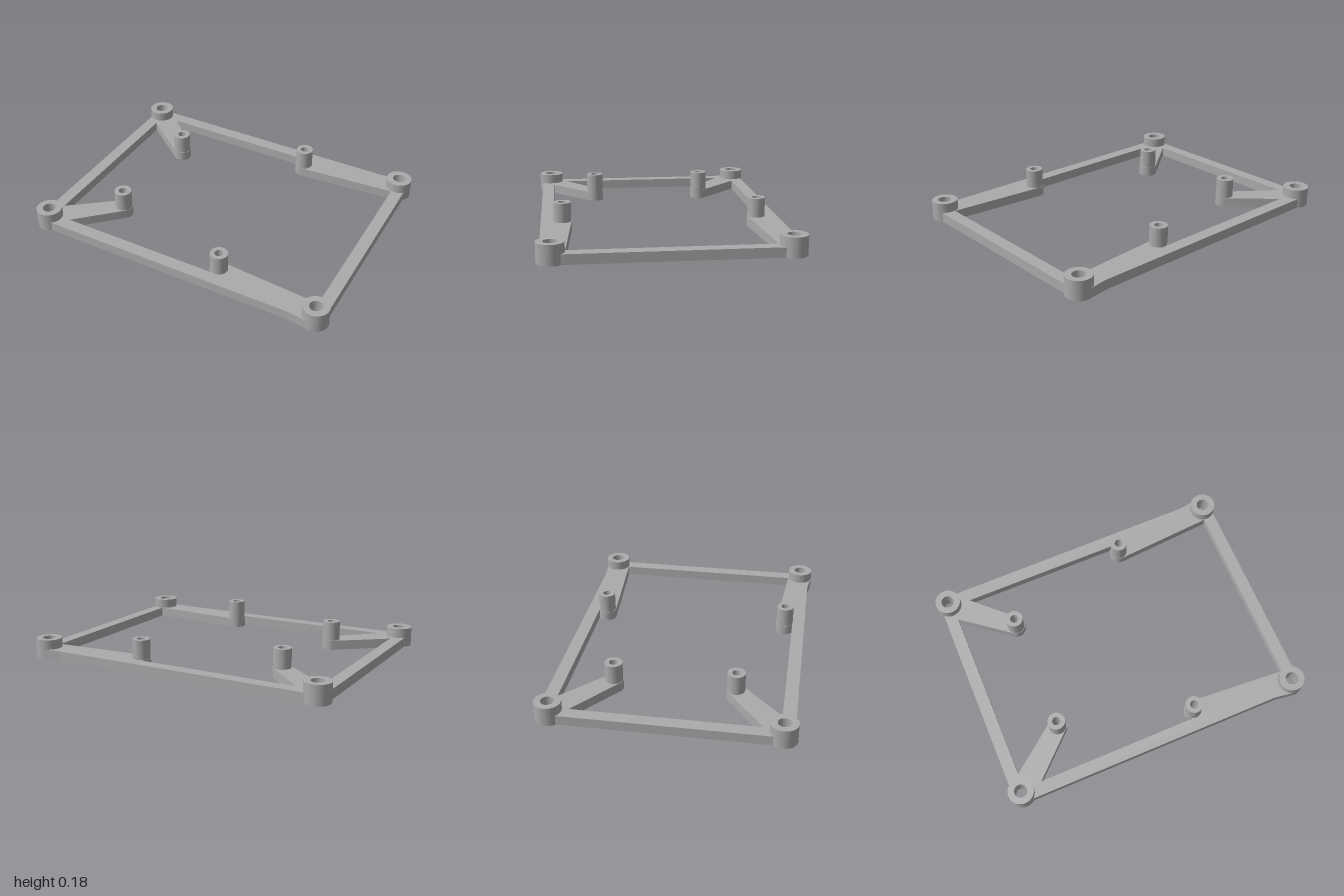
import * as THREE from 'three';
import { toCreasedNormals } from 'three/addons/utils/BufferGeometryUtils.js';

const PLATE = 0.06;
const BOSS = { r: 0.08, hole: 0.04, top: 0.12 };
const POST = { r: 0.054, hole: 0.026, top: 0.18 };
const PAD = 0.057; // arm radius under a post

const grey = new THREE.MeshStandardMaterial({ color: 0xaaaaaa });
grey.name = 'grey plastic';

function hole(x, y, r) {
  return new THREE.Path().absarc(x, y, r, 0, Math.PI * 2, true);
}

// Extrudes a plan outline (shape y = -z) upward from y0 to y1
function slab(name, shape, y0, y1) {
  const geo = new THREE.ExtrudeGeometry(shape, { depth: y1 - y0, bevelEnabled: false, curveSegments: 40 });
  geo.rotateX(-Math.PI / 2);
  geo.translate(0, y0, 0);
  const mesh = new THREE.Mesh(toCreasedNormals(geo, 0.5), grey);
  mesh.name = name;
  return mesh;
}

// Hollow cylinder standing on the plate
function tube(name, x, z, { r, hole: h, top }) {
  const s = new THREE.Shape().absarc(x, -z, r, 0, Math.PI * 2, false);
  s.holes.push(hole(x, -z, h));
  return slab(name, s, PLATE, top);
}

// Tapered arm around a corner hole and a post hole
function arm(name, cx, cz, px, pz) {
  const dx = px - cx, dy = cz - pz;
  const a = Math.atan2(dy, dx);
  const b = Math.acos((BOSS.r - PAD) / Math.hypot(dx, dy));
  const s = new THREE.Shape();
  s.absarc(cx, -cz, BOSS.r, a + b, a - b + Math.PI * 2, false);
  s.absarc(px, -pz, PAD, a - b, a + b, false);
  s.closePath();
  s.holes.push(hole(cx, -cz, BOSS.hole), hole(px, -pz, POST.hole));
  return slab(name, s, 0, PLATE);
}

function rail(name, w, d, x, z) {
  const mesh = new THREE.Mesh(new THREE.BoxGeometry(w, PLATE, d), grey);
  mesh.position.set(x, PLATE / 2, z);
  mesh.name = name;
  return mesh;
}

export function createModel() {
  const model = new THREE.Group();
  model.name = 'mountingFrame';

  // Corner units: arm, boss and post
  for (const sz of [1, -1]) {
    for (const [side, cx, px, pz] of [['right', -0.92, -0.563, 0.368], ['left', 0.92, 0.266, 0.603]]) {
      const corner = new THREE.Group();
      corner.name = `${sz > 0 ? 'front' : 'back'}_${side}_corner`;
      corner.add(
        arm('arm', cx, sz * 0.674, px, sz * pz),
        tube('cornerBoss', cx, sz * 0.674, BOSS),
        tube('post', px, sz * pz, POST)
      );
      model.add(corner);
    }
    // Long rails, ending inside the corner rings
    model.add(rail(sz > 0 ? 'frontRail' : 'backRail', 1.74, 0.08, 0, sz * 0.695));
  }

  // Side rails
  for (const sx of [1, -1]) {
    model.add(rail(sx > 0 ? 'leftRail' : 'rightRail', 0.077, 1.25, sx * 0.938, 0));
  }
  return model;
}
